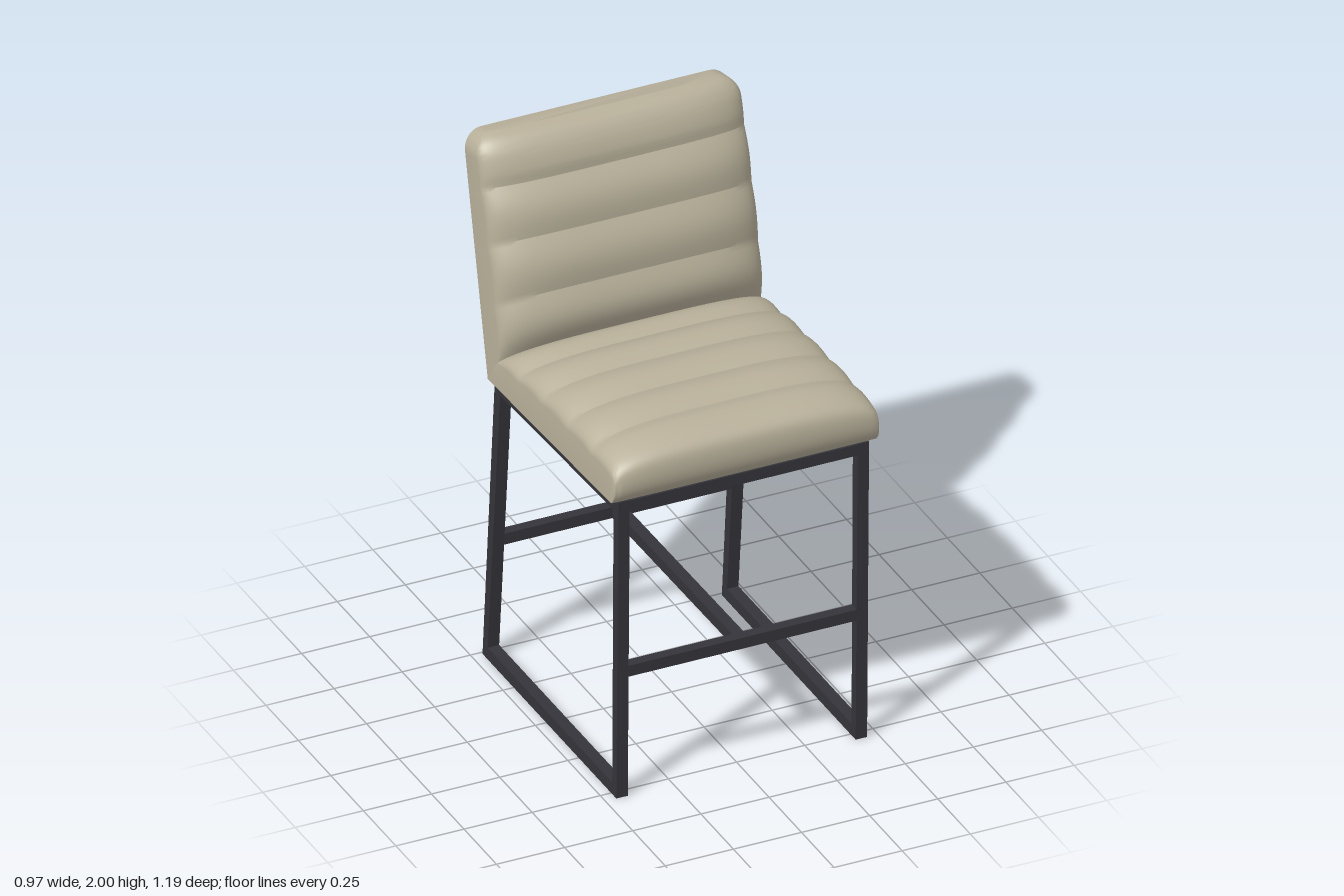
import * as THREE from 'three';
import { toCreasedNormals } from 'three/addons/utils/BufferGeometryUtils.js';

const upholstery = new THREE.MeshStandardMaterial({ name: 'beige upholstery', color: 0xb8b09a });
const metal = new THREE.MeshStandardMaterial({ name: 'dark metal', color: 0x35343a });

// Points (z, y) of one padded channel between two grooves, bulging outwards
function channel(a, b, rise, steps = 14) {
  const dz = b[0] - a[0], dy = b[1] - a[1], len = Math.hypot(dz, dy);
  return Array.from({ length: steps + 1 }, (_, i) => {
    const s = i / steps, h = rise * Math.sin(Math.PI * s);
    return [a[0] + dz * s + (dy / len) * h, a[1] + dy * s - (dz / len) * h];
  });
}

// Smooth rounded end of a cushion through a few (z, y) points
function roundedEnd(points, steps = 26) {
  const curve = new THREE.CatmullRomCurve3(points.map(([z, y]) => new THREE.Vector3(0, y, z)));
  return curve.getPoints(steps).map(p => [p.z, p.y]);
}

// Cushion skin: each row is { base: [z, y], top: [z, y], w } with a crowned section across x
function cushion(rows, capStart, capEnd) {
  const SEAM = 0.55, ARC = 28;
  const section = [[1, 0]];
  for (let i = 0; i <= ARC; i++) {
    const a = Math.PI * i / ARC, c = Math.cos(a);
    section.push([Math.sign(c) * Math.abs(c) ** (2 / 3.6), SEAM + (1 - SEAM) * Math.sin(a)]);
  }
  section.push([-1, 0]);
  const n = section.length, positions = [], index = [];
  for (const { base, top, w } of rows)
    for (const [s, t] of section)
      positions.push(s * w, base[1] + (top[1] - base[1]) * t, base[0] + (top[0] - base[0]) * t);
  for (let r = 0; r < rows.length - 1; r++)
    for (let j = 0; j < n; j++) {
      const k = (j + 1) % n, a = r * n, b = a + n;
      index.push(a + j, b + j, a + k, b + j, b + k, a + k);
    }
  const last = (rows.length - 1) * n;
  for (let j = 1; j < n - 1; j++) {
    if (capStart) index.push(0, j, j + 1);
    if (capEnd) index.push(last, last + j + 1, last + j);
  }
  const geometry = new THREE.BufferGeometry();
  geometry.setAttribute('position', new THREE.Float32BufferAttribute(positions, 3));
  geometry.setIndex(index);
  return toCreasedNormals(geometry, 0.45);
}

// Joins channels into one line, keeping each shared groove point once
const join = parts => parts.flatMap((p, i) => (i ? p.slice(1) : p));
const clamp01 = v => Math.min(1, Math.max(0, v));

function add(group, name, geometry, material) {
  const mesh = new THREE.Mesh(geometry, material);
  mesh.name = name;
  group.add(mesh);
  return mesh;
}

export function createModel() {
  const model = new THREE.Group();
  model.name = 'counterStool';

  // Seat: rounded nose, then channels running back to the mitre
  const seatGrooves = [[0.405, 1.345], [0.23, 1.345], [0.047, 1.337], [-0.125, 1.317], [-0.275, 1.285]];
  const seatLine = [roundedEnd([[0.565, 1.16], [0.592, 1.2], [0.6, 1.26], [0.585, 1.315],
    [0.53, 1.347], [0.46, 1.357], seatGrooves[0]])];
  for (let i = 0; i < 4; i++) seatLine.push(channel(seatGrooves[i], seatGrooves[i + 1], 0.02));
  const seatRows = join(seatLine).map(top => {
    const k = clamp01((0.55 - top[0]) / 0.825);
    return { base: [0.55 - 0.95 * k, 1.155 - 0.035 * k], top, w: 0.486 };
  });
  add(model, 'seatCushion', cushion(seatRows, true, false), upholstery);

  // Backrest: channels rising from the mitre to a rounded top
  const backGrooves = [[-0.275, 1.285], [-0.275, 1.48], [-0.325, 1.67], [-0.39, 1.845]];
  const backLine = [];
  for (let i = 0; i < 3; i++) backLine.push(channel(backGrooves[i], backGrooves[i + 1], i ? 0.021 : 0.03));
  backLine.push(roundedEnd([backGrooves[3], [-0.393, 1.89], [-0.418, 1.95], [-0.455, 1.988], [-0.5, 2]]));
  const backRows = join(backLine).map(top => {
    const k = clamp01((top[1] - 1.285) / 0.715), y = 1.12 + 0.855 * k;
    const d = clamp01((y - 1.905) / 0.07);
    return { base: [-0.4 - 0.19 * k, y], top, w: 0.484 - 0.065 * (1 - Math.sqrt(1 - d * d)) };
  });
  add(model, 'backrest', cushion(backRows, false, true), upholstery);

  // Side frames: closed loops with a raked rear leg
  const BAR = 0.042, HALF = 0.46;
  const toPoints = list => list.map(([z, y]) => new THREE.Vector2(z, y));
  const loop = new THREE.Shape(toPoints([[0.54, 0], [0.555, 1.15], [-0.395, 1.115], [-0.49, 0]]));
  loop.holes.push(new THREE.Path(toPoints([[0.508, 0.045], [-0.45, 0.045], [-0.355, 1.07], [0.518, 1.105]])));
  const loopGeometry = new THREE.ExtrudeGeometry(loop, { depth: BAR, bevelEnabled: false });
  loopGeometry.rotateY(-Math.PI / 2);
  add(model, 'leftSideFrame', loopGeometry, metal).position.x = HALF;
  add(model, 'rightSideFrame', loopGeometry, metal).position.x = BAR - HALF;

  // Cross bars under the seat and between the legs
  const crossBar = new THREE.BoxGeometry(2 * (HALF - BAR), BAR, 0.038);
  for (const [name, y, z] of [['frontSeatRail', 1.127, 0.535], ['rearSeatRail', 1.093, -0.373],
    ['frontStretcher', 0.485, 0.528], ['rearStretcher', 0.475, -0.43]])
    add(model, name, crossBar, metal).position.set(0, y, z);

  // Centre bar linking the stretchers
  const centre = add(model, 'centreStretcher', new THREE.BoxGeometry(BAR, BAR, 0.93), metal);
  centre.position.set(0, 0.48, 0.049);
  centre.rotation.x = -0.0104;

  return model;
}
